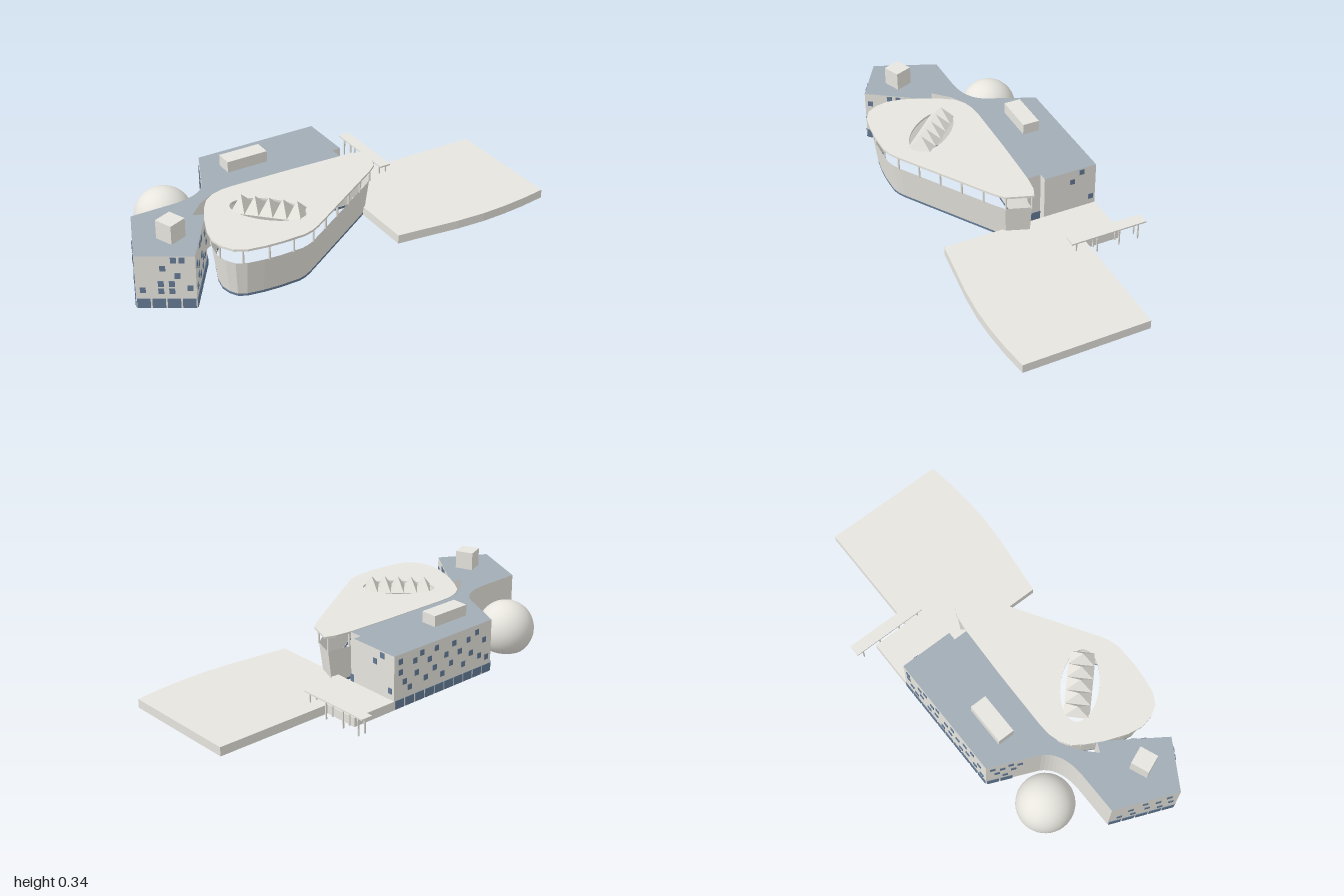
import * as THREE from 'three';
import { mergeGeometries } from 'three/addons/utils/BufferGeometryUtils.js';

const mat = (name, color) => Object.assign(new THREE.MeshStandardMaterial({ color, side: THREE.DoubleSide }), { name });
const concrete = mat('concrete', 0xe7e5de);
const slate = mat('slateRoof', 0xa1acb5);
const glass = mat('blueGlass', 0x667c97);

// Outlines are lists of [x, z]
const toShape = pts => new THREE.Shape(pts.map(([x, z]) => new THREE.Vector2(x, -z)));

// Open wall between a lower and an upper outline
function wallGeometry(low, high, y0, y1) {
  const pos = [];
  low.forEach((a, i) => {
    const j = (i + 1) % low.length, b = low[j], c = high[j], d = high[i];
    pos.push(a[0], y0, a[1], c[0], y1, c[1], b[0], y0, b[1]);
    pos.push(a[0], y0, a[1], d[0], y1, d[1], c[0], y1, c[1]);
  });
  const g = new THREE.BufferGeometry();
  g.setAttribute('position', new THREE.Float32BufferAttribute(pos, 3));
  g.computeVertexNormals();
  return g;
}

function capGeometry(pts, y) {
  return new THREE.ShapeGeometry(toShape(pts)).rotateX(-Math.PI / 2).translate(0, y, 0);
}

// Moves every outline corner towards the inside by d
function inset(pts, d) {
  const n = pts.length;
  return pts.map((p, i) => {
    const a = pts[(i + n - 1) % n], b = pts[(i + 1) % n];
    const tx = b[0] - a[0], tz = b[1] - a[1], l = Math.hypot(tx, tz);
    return [p[0] - tz / l * d, p[1] + tx / l * d];
  });
}

// Thin plates outside the wall a-b; each item is [fraction along, centre y, width, height]
function windowGeometry(a, b, items) {
  const dx = b[0] - a[0], dz = b[1] - a[1];
  return mergeGeometries(items.map(([t, y, w = 0.024, h = 0.026]) =>
    new THREE.BoxGeometry(w, h, 0.003).translate(0, 0, 0.0025)
      .rotateY(-Math.atan2(dz, dx))
      .translate(a[0] + dx * t, y, a[1] + dz * t)));
}

// Row of ground-floor panes along a wall
function baseRow(a, b, count, h = 0.045) {
  const len = Math.hypot(b[0] - a[0], b[1] - a[1]);
  return Array.from({ length: count }, (_, i) => [(i + 0.5) / count, h / 2 + 0.002, len / count * 0.88, h]);
}

export function createModel() {
  const root = new THREE.Group();
  const add = (name, geo, material) => {
    const m = new THREE.Mesh(geo, material);
    m.name = name;
    root.add(m);
    return m;
  };
  const box = (name, w, h, d, x, y, z, ry = 0, material = concrete) => {
    const m = add(name, new THREE.BoxGeometry(w, h, d), material);
    m.position.set(x, y, z);
    m.rotation.y = ry;
  };

  // Office block: angled wing, curved neck and long bar
  const H = 0.253;
  const neck = new THREE.QuadraticBezierCurve(
    new THREE.Vector2(-0.68, -0.047), new THREE.Vector2(-0.545, -0.05), new THREE.Vector2(-0.5, -0.13));
  const wingBack = [-0.88, -0.047], wingWest = [-1, 0.24], wingFront = [-0.785, 0.37], wingEast = [-0.6, 0.1];
  const barNW = [-0.4, -0.358], barNE = [0.2, -0.358], barSE = [0.2, -0.1];
  const south0 = [0.16, -0.035], south1 = [-0.5, -0.035], notch = [0.16, -0.1];
  const block = [wingBack, ...neck.getPoints(10).map(p => [p.x, p.y]), barNW, barNE, barSE, notch,
    south0, south1, [-0.58, 0.01], [-0.65, 0.078], wingEast, wingFront, wingWest];
  add('officeWalls', wallGeometry(block, block, 0, H), concrete);
  add('officeRoof', capGeometry(block, H), slate);
  box('wingRoofBox', 0.086, 0.088, 0.086, -0.805, 0.296, 0.188, 0.38);
  box('barRoofBox', 0.2, 0.055, 0.08, -0.25, 0.278, -0.207);

  // Scattered windows, wall by wall
  add('wingFrontWindows', windowGeometry(wingWest, wingFront, [
    ...baseRow(wingWest, wingFront, 4),
    [0.12, 0.09], [0.42, 0.085], [0.42, 0.12], [0.6, 0.085], [0.6, 0.12], [0.46, 0.195],
    [0.64, 0.235], [0.78, 0.235], [0.7, 0.16], [0.9, 0.1]]), glass);
  add('wingEastWindows', windowGeometry(wingFront, wingEast, [
    ...baseRow(wingFront, wingEast, 6),
    [0.08, 0.2], [0.1, 0.09], [0.22, 0.12], [0.24, 0.165], [0.37, 0.235], [0.36, 0.09], [0.5, 0.235],
    [0.48, 0.16], [0.58, 0.085], [0.62, 0.12], [0.8, 0.2], [0.76, 0.1], [0.9, 0.14]]), glass);
  add('wingBackWindows', windowGeometry(wingBack, wingWest, [
    ...baseRow(wingBack, wingWest, 5),
    [0.15, 0.1], [0.3, 0.17], [0.35, 0.095], [0.5, 0.21], [0.55, 0.13], [0.7, 0.18], [0.75, 0.09],
    [0.85, 0.215], [0.9, 0.13]]), glass);
  add('barBackWindows', windowGeometry(barNE, barNW, [
    ...baseRow(barNE, barNW, 10, 0.04),
    [0.06, 0.22], [0.06, 0.17], [0.1, 0.12], [0.15, 0.085], [0.2, 0.2], [0.22, 0.14], [0.27, 0.225],
    [0.31, 0.1], [0.35, 0.18], [0.4, 0.13], [0.42, 0.22], [0.48, 0.085], [0.52, 0.17], [0.57, 0.12],
    [0.6, 0.21], [0.66, 0.16], [0.7, 0.09], [0.75, 0.2], [0.78, 0.13], [0.84, 0.22], [0.87, 0.1],
    [0.92, 0.17], [0.95, 0.08]]), glass);
  add('barSlantWindows', windowGeometry(barNW, [-0.5, -0.13], [
    [0.12, 0.21], [0.2, 0.14], [0.3, 0.19], [0.35, 0.09], [0.45, 0.22], [0.5, 0.15], [0.62, 0.2],
    ...baseRow(barNW, [-0.5, -0.13], 4).slice(0, 2)]), glass);
  add('barEndWindows', windowGeometry(barSE, barNE, [[0.72, 0.235], [0.54, 0.195], [0.91, 0.085]]), glass);
  add('barNotchGlazing', windowGeometry(south0, notch, [[0.5, 0.025, 0.064, 0.05]]), glass);
  const strip = [-0.385, -0.315, -0.25, -0.17, -0.09, -0.01, 0.045, 0.125];
  add('barFrontWindows', windowGeometry(south1, south0,
    strip.map(x => [(x + 0.5) / 0.66, 0.194, 0.056, 0.036])), glass);
  box('barFrontBaseGlazing', 0.65, 0.048, 0.008, -0.17, 0.025, -0.035, 0, glass);

  // Hall: flared wall on a glazed foot, columns and a flat canopy
  const canopy = [[0.287, -0.005], [0.245, 0.115], [0.2, 0.15], [-0.235, 0.425], [-0.275, 0.445], [-0.32, 0.457],
    [-0.42, 0.458], [-0.5, 0.452], [-0.58, 0.438], [-0.63, 0.41], [-0.66, 0.36], [-0.672, 0.3], [-0.66, 0.23],
    [-0.62, 0.125], [-0.58, 0.05], [-0.545, 0.0], [-0.5, -0.03], [-0.45, -0.045], [-0.39, -0.049],
    [-0.1, -0.044], [0.165, -0.034], [0.24, -0.024]];
  const rim = inset(canopy, 0.02), foot = inset(canopy, 0.04), base = inset(canopy, 0.041);
  add('hallWall', wallGeometry(foot, rim, 0.012, 0.176), concrete);
  add('hallBaseGlazing', wallGeometry(base, base, 0, 0.012), glass);

  const slab = toShape(canopy);
  const opening = new THREE.Path();
  opening.absellipse(-0.355, -0.205, 0.17, 0.086, 0, Math.PI * 2, true, -0.8);
  slab.holes.push(opening);
  add('hallCanopy', new THREE.ExtrudeGeometry(slab, { depth: 0.01, bevelEnabled: false, curveSegments: 24 })
    .rotateX(-Math.PI / 2).translate(0, 0.2455, 0), concrete);

  const ring = inset(canopy, 0.019).map(([x, z]) => new THREE.Vector3(x, 0, z));
  const path = new THREE.CurvePath();
  ring.forEach((p, i) => path.add(new THREE.LineCurve3(p, ring[(i + 1) % ring.length])));
  const columns = [];
  for (let i = 0; i < 20; i++) {
    const p = path.getPointAt(i / 20);
    columns.push(new THREE.CylinderGeometry(0.005, 0.005, 0.075, 8).translate(p.x, 0.21, p.z));
  }
  add('hallColumns', mergeGeometries(columns), concrete);

  // Row of pointed skylights over the opening
  const lights = new THREE.Group();
  lights.name = 'skylights';
  lights.position.set(-0.35, 0.25, 0.207);
  lights.rotation.y = -0.78;
  for (let i = 0; i < 5; i++) {
    const g = new THREE.ConeGeometry(Math.SQRT1_2, 0.063, 4, 1, true).rotateY(Math.PI / 4)
      .scale(0.062, 1, 0.117).toNonIndexed();
    g.computeVertexNormals();
    const m = new THREE.Mesh(g, concrete);
    m.name = 'skylight';
    m.position.set((i - 2) * 0.062, 0.0315, 0);
    lights.add(m);
  }
  root.add(lights);

  // Dome: a sphere cut open at the ground
  const R = 0.133, cy = 0.098;
  add('dome', new THREE.SphereGeometry(R, 40, 24, 0, Math.PI * 2, 0, Math.acos(-cy / R)), concrete)
    .position.set(-0.65, cy, -0.222);

  // Terrace, open underneath
  const terrace = [[0.2, -0.36], [0.43, -0.36], [0.43, -0.187], [0.998, -0.187], [1, 0.403], [0.88, 0.42],
    [0.76, 0.43], [0.64, 0.433], [0.5, 0.425], [0.2, 0.39]];
  add('terraceSides', wallGeometry(terrace, terrace, 0, 0.042), concrete);
  add('terraceTop', capGeometry(terrace, 0.042), concrete);

  // Covered walkway
  box('walkwayRoof', 0.056, 0.007, 0.37, 0.452, 0.089, -0.28);
  for (const z of [-0.43, -0.335, -0.225, -0.12])
    for (const x of [0.434, 0.47]) {
      const y0 = z > -0.187 ? 0.042 : 0;
      box('walkwayPost', 0.006, 0.086 - y0, 0.006, x, (0.086 + y0) / 2, z);
    }
  return root;
}
